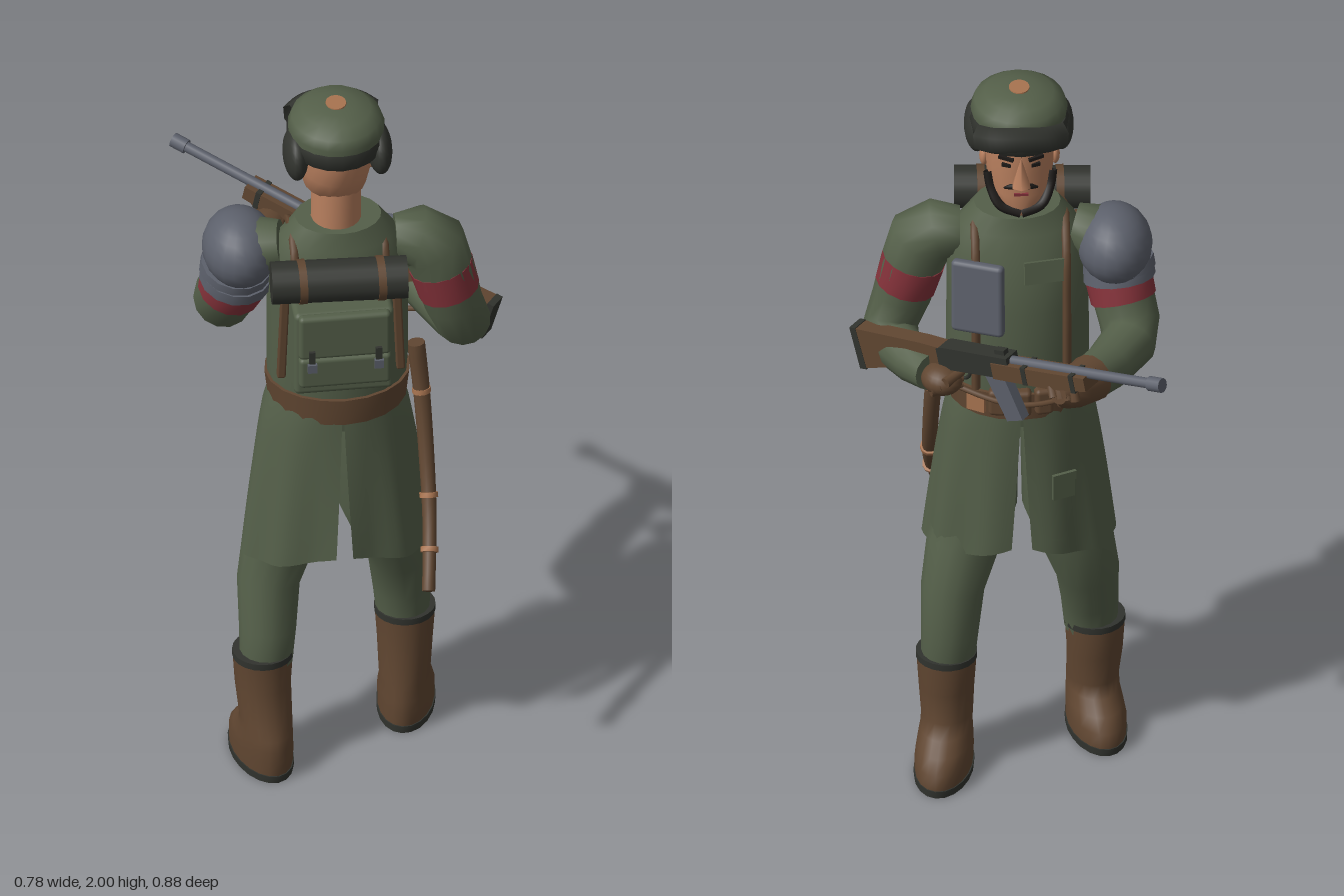
import * as THREE from 'three';
import { RoundedBoxGeometry } from 'three/addons/geometries/RoundedBoxGeometry.js';

const paint = (name, color) => Object.assign(new THREE.MeshStandardMaterial({ color, side: THREE.DoubleSide }), { name });
const V = (x, y, z) => new THREE.Vector3(x, y, z);
const CX = -0.03; // middle line of the body

// Skin over a list of rings of points, lowest ring first
function loft(rings, closed = true, caps = true) {
  const n = rings[0].length, pos = [], idx = [];
  rings.forEach(r => r.forEach(p => pos.push(p.x, p.y, p.z)));
  for (let j = 0; j + 1 < rings.length; j++)
    for (let i = 0; i < (closed ? n : n - 1); i++) {
      const a = j * n + i, b = j * n + (i + 1) % n;
      idx.push(a, b, b + n, a, b + n, a + n);
    }
  if (caps) [rings[0], rings[rings.length - 1]].forEach((ring, end) => {
    const base = pos.length / 3, c = V(0, 0, 0);
    ring.forEach(p => { c.addScaledVector(p, 1 / n); pos.push(p.x, p.y, p.z); });
    pos.push(c.x, c.y, c.z);
    for (let i = 0; i < n; i++) {
      const a = base + i, b = base + (i + 1) % n;
      idx.push(base + n, ...(end ? [a, b] : [b, a]));
    }
  });
  const g = new THREE.BufferGeometry();
  g.setAttribute('position', new THREE.Float32BufferAttribute(pos, 3));
  g.setIndex(idx);
  g.computeVertexNormals();
  return g;
}

// Level ellipses: [y, centre z, radius x, radius z]
const stack = (rows, cx = CX, n = 20) => loft(rows.map(([y, cz, rx, rz]) =>
  Array.from({ length: n }, (_, i) => {
    const a = i / n * Math.PI * 2;
    return V(cx + rx * Math.sin(a), y, cz + rz * Math.cos(a));
  })));

// Round limb along [x, y, z, radius]
function limb(rows, n = 14) {
  const pts = rows.map(r => V(r[0], r[1], r[2]));
  let u = null;
  return loft(pts.map((p, k) => {
    const t = pts[Math.min(k + 1, pts.length - 1)].clone().sub(pts[Math.max(k - 1, 0)]).normalize();
    if (!u) u = Math.abs(t.y) > 0.8 ? V(1, 0, 0) : V(0, 1, 0);
    u = u.clone().addScaledVector(t, -u.dot(t)).normalize();
    const v = t.clone().cross(u);
    return Array.from({ length: n }, (_, i) => {
      const a = i / n * Math.PI * 2;
      return p.clone().addScaledVector(u, rows[k][3] * Math.cos(a)).addScaledVector(v, rows[k][3] * Math.sin(a));
    });
  }));
}

const tube = (pts, r, n = 20) => new THREE.TubeGeometry(new THREE.CatmullRomCurve3(pts.map(p => V(...p))), n, r, 6);
const ball = (x, y, z) => new THREE.SphereGeometry(1, 20, 14).scale(x, y, z);
const box = (x, y, z) => new THREE.BoxGeometry(x, y, z);
const soft = (x, y, z, r = 0.012) => new RoundedBoxGeometry(x, y, z, 2, r);

export function createModel() {
  const model = new THREE.Group();
  const coat = paint('coat green', 0x545f49), brown = paint('leather brown', 0x604631), skin = paint('skin', 0xb87f5e),
    red = paint('armband red', 0x84323a), steel = paint('steel grey', 0x5c606b), dark = paint('dark fur', 0x31332e),
    hair = paint('black hair', 0x1d1a18), copper = paint('copper trim', 0xa87450);
  const add = (name, geo, mat, p = [0, 0, 0], r = [0, 0, 0], parent = model) => {
    const m = new THREE.Mesh(geo, mat);
    m.name = name; m.position.set(...p); m.rotation.set(...r);
    parent.add(m);
    return m;
  };

  // Coat body and belt
  add('coatBody', stack([[1.06, 0.155, 0.17, 0.145], [1.2, 0.155, 0.181, 0.15], [1.4, 0.155, 0.18, 0.146],
    [1.54, 0.165, 0.178, 0.125], [1.6, 0.17, 0.15, 0.1], [1.65, 0.17, 0.11, 0.088]], -0.025), coat);
  add('belt', stack([[1.09, 0.155, 0.177, 0.157], [1.165, 0.155, 0.186, 0.158]], -0.025), brown);

  // Coat skirt in two halves, slit at the back and front
  for (const s of [1, -1]) {
    const rings = [];
    for (let j = 10; j >= 0; j--) {
      const v = j / 10, back = 0.012 + 0.075 * v, front = 0.01 + 0.1 * v;
      const a0 = s > 0 ? back : Math.PI + front, a1 = s > 0 ? Math.PI - front : 2 * Math.PI - back;
      rings.push(Array.from({ length: 29 }, (_, i) => {
        const a = a0 + (a1 - a0) * i / 28, w = 0.007 * v * Math.cos(a * 9);
        return V(CX + (0.172 + 0.07 * v ** 0.7 + w) * Math.sin(a), 1.11 - v * (0.415 + 0.065 * Math.abs(Math.sin(a))),
          0.155 + 0.012 * v + (0.153 + 0.018 * v + w) * Math.cos(a));
      }));
    }
    add('coatSkirt', loft(rings, false, false), coat);
  }
  add('skirtPocket', box(0.06, 0.07, 0.009), coat, [-0.135, 0.88, 0.004], [0, 0.4, 0]);
  add('skirtPocketFlap', box(0.065, 0.025, 0.009), coat, [-0.137, 0.91, 0], [0, 0.4, 0]);

  // Legs and boots; one foot stands ahead of the other
  for (const [name, s, hz, kz, fz] of [['forwardLeg', 1, 0.125, 0.09, 0.033], ['rearLeg', -1, 0.15, 0.165, 0.202]]) {
    const leg = new THREE.Group();
    leg.name = name; model.add(leg);
    const fx = CX + s * 0.196, top = fz + 0.04 - (s < 0 ? 0.025 : 0);
    add('trouser', limb([[fx - s * 0.012, 0.31, top, 0.068], [CX + s * 0.18, 0.4, top - 0.005, 0.073],
      [CX + s * 0.172, 0.52, kz, 0.081], [CX + s * 0.145, 0.63, hz, 0.094],
      [CX + s * 0.105, 0.75, 0.15, 0.1], [CX + s * 0.085, 1.02, 0.155, 0.085]], 16), coat, [0, 0, 0], [0, 0, 0], leg);
    const boot = new THREE.Group();
    boot.name = 'boot'; boot.position.set(fx, 0, fz); boot.rotation.y = -s * 0.2; leg.add(boot);
    const sh = top - fz;
    add('sole', stack([[0, 0, 0.074, 0.138], [0.02, 0, 0.075, 0.139]], 0), dark, [0, 0, 0], [0, 0, 0], boot);
    add('bootLeather', stack([[0.02, 0, 0.072, 0.136], [0.06, 0.002, 0.073, 0.135], [0.09, 0.018, 0.07, 0.117],
      [0.12, 0.035, 0.066, 0.095], [0.15, sh * 0.5 + 0.03, 0.066, 0.077], [0.24, sh, 0.071, 0.073],
      [0.33, sh, 0.077, 0.074]], 0), brown, [0, 0, 0], [0, 0, 0], boot);
    add('bootCuff', stack([[0.322, sh, 0.078, 0.076], [0.34, sh, 0.078, 0.076]], 0), dark, [0, 0, 0], [0, 0, 0], boot);
  }

  // Trigger arm
  add('triggerSleeve', limb([[0.12, 1.565, 0.17, 0.06], [0.175, 1.565, 0.172, 0.08], [0.218, 1.535, 0.175, 0.088],
    [0.242, 1.46, 0.178, 0.08], [0.267, 1.36, 0.18, 0.075], [0.295, 1.285, 0.165, 0.07], [0.285, 1.258, 0.11, 0.066],
    [0.24, 1.258, 0.03, 0.058], [0.2, 1.265, -0.03, 0.05]]), coat);
  add('triggerArmband', limb([[0.236, 1.475, 0.177, 0.083], [0.257, 1.395, 0.18, 0.079]]), red);
  add('triggerGlove', ball(0.052, 0.04, 0.056), brown, [0.175, 1.262, -0.055], [0, 0.6, 0]);
  for (let i = 0; i < 3; i++)
    add('triggerFinger', limb([[0.205 - i * 0.018, 1.245 + i * 0.018, -0.09 - i * 0.008, 0.014], [0.125, 1.25 + i * 0.018, -0.06, 0.012]], 8), brown);

  // Support arm with a steel shoulder guard
  add('supportSleeve', limb([[-0.17, 1.57, 0.165, 0.06], [-0.23, 1.56, 0.15, 0.08], [-0.27, 1.51, 0.135, 0.085],
    [-0.285, 1.42, 0.11, 0.08], [-0.305, 1.34, 0.07, 0.077], [-0.3, 1.312, 0.01, 0.071],
    [-0.245, 1.31, -0.085, 0.063], [-0.18, 1.325, -0.18, 0.056]]), coat);
  add('supportArmband', limb([[-0.279, 1.445, 0.12, 0.086], [-0.291, 1.39, 0.098, 0.084]]), red);
  add('shoulderGuard', ball(0.096, 0.1, 0.12), steel, [-0.27, 1.54, 0.128]);
  for (let i = 0; i < 2; i++)
    add('guardPlate', limb([[-0.277, 1.495 - i * 0.025, 0.13, 0.092], [-0.28, 1.465 - i * 0.025, 0.122, 0.094]]), steel);
  add('supportGlove', limb([[-0.198, 1.322, -0.155, 0.062], [-0.155, 1.335, -0.215, 0.053],
    [-0.125, 1.345, -0.25, 0.043], [-0.11, 1.35, -0.27, 0.025]]), brown);
  for (let i = 0; i < 4; i++)
    add('supportFinger', limb([[-0.1 - i * 0.018, 1.34, -0.265 - i * 0.006, 0.013], [-0.085 - i * 0.02, 1.392, -0.222 - i * 0.014, 0.01]], 8), brown);

  // Head and face
  add('neck', stack([[1.6, 0.17, 0.065, 0.07], [1.76, 0.165, 0.063, 0.068]]), skin);
  add('head', stack([[1.68, 0.1, 0.03, 0.045], [1.7, 0.108, 0.056, 0.062], [1.74, 0.138, 0.08, 0.09],
    [1.8, 0.155, 0.088, 0.106], [1.87, 0.16, 0.091, 0.111], [1.93, 0.16, 0.085, 0.102]]), skin);
  add('nose', new THREE.ConeGeometry(0.026, 0.08, 6), skin, [CX, 1.822, 0.042], [0.12, 0, 0]);
  add('mouth', box(0.036, 0.007, 0.009), red, [CX, 1.75, 0.05]);
  for (const s of [1, -1]) {
    const x = d => CX + s * d;
    add('ear', ball(0.012, 0.028, 0.02), skin, [x(0.09), 1.805, 0.15]);
    add('beard', tube([[x(0.081), 1.785, 0.108], [x(0.074), 1.745, 0.094], [x(0.052), 1.707, 0.066], [x(0), 1.692, 0.05]], 0.013), hair);
    add('moustache', limb([[x(0), 1.776, 0.047, 0.009], [x(0.025), 1.772, 0.053, 0.008], [x(0.042), 1.762, 0.063, 0.003]], 8), hair);
    add('eye', box(0.024, 0.009, 0.008), hair, [x(0.037), 1.835, 0.058], [0, -s * 0.35, 0]);
    add('eyebrow', box(0.04, 0.009, 0.009), hair, [x(0.038), 1.857, 0.056], [0, -s * 0.35, s * 0.12]);
  }

  // Fur hat
  add('hatCrown', stack([[1.9, 0.17, 0.118, 0.128], [1.94, 0.172, 0.123, 0.13], [1.965, 0.171, 0.114, 0.122],
    [1.985, 0.169, 0.088, 0.095], [1.995, 0.168, 0.05, 0.055], [1.997, 0.168, 0.025, 0.028]]), coat);
  add('hatButton', stack([[1.99, 0.168, 0.027, 0.031], [2, 0.168, 0.026, 0.03]]), copper);
  add('hatFurBand', stack([[1.866, 0.165, 0.1, 0.118], [1.88, 0.164, 0.122, 0.138], [1.912, 0.163, 0.126, 0.142], [1.928, 0.163, 0.12, 0.136]]), dark);
  add('hatFrontFlap', tube([[CX - 0.105, 1.905, 0.085], [CX - 0.065, 1.912, 0.054], [CX, 1.916, 0.044], [CX + 0.065, 1.912, 0.054], [CX + 0.105, 1.905, 0.085]], 0.028)
    .translate(0, -1.91, 0).scale(1, 1.4, 1), dark, [0, 1.91, 0]);
  for (const s of [1, -1])
    add('hatEarFlap', ball(0.032, 0.065, 0.076), dark, [CX + s * 0.107, 1.868, 0.195]);

  // Chest plate, harness and belt pouches
  add('chestPlate', soft(0.14, 0.2, 0.03), steel, [0.08, 1.45, 0.027], [0.12, -0.4, 0]);
  add('chestFlap', box(0.11, 0.06, 0.009), coat, [-0.09, 1.52, 0.035], [0.2, 0.25, 0]);
  for (const s of [1, -1]) {
    const x = CX + s * 0.115;
    add('harnessStrap', tube([[x, 1.17, 0.03], [x, 1.4, 0.034], [x, 1.55, 0.06], [x, 1.618, 0.14], [x, 1.596, 0.23], [x, 1.5, 0.275]], 0.011, 28), brown);
  }
  [-0.14, -0.085, -0.03, 0.03].forEach(x =>
    add('beltPouch', soft(0.048, 0.075, 0.04), brown, [x, 1.145, 0.155 - 0.155 * Math.sqrt(1 - ((x + 0.025) / 0.18) ** 2)], [0, -(x + 0.025) * 3, 0]));
  add('beltBuckle', box(0.05, 0.05, 0.01), copper, [0.085, 1.13, 0.027], [0, -0.5, 0]);

  // Backpack with bedroll
  const pack = new THREE.Group();
  pack.name = 'backpack'; model.add(pack);
  const packPart = (name, geo, mat, p, r = [0, 0, 0]) => add(name, geo, mat, p, r, pack);
  packPart('packBody', soft(0.255, 0.25, 0.13, 0.015), coat, [-0.04, 1.39, 0.345]);
  packPart('packFlap', soft(0.235, 0.13, 0.03), coat, [-0.04, 1.45, 0.412]);
  packPart('packPocket', soft(0.235, 0.09, 0.04), coat, [-0.04, 1.345, 0.412]);
  packPart('bedroll', new THREE.CylinderGeometry(0.055, 0.055, 0.345, 18), dark, [-0.045, 1.57, 0.342], [0, -0.05, Math.PI / 2]);
  for (const s of [1, -1]) {
    packPart('bedrollStrap', new THREE.CylinderGeometry(0.058, 0.058, 0.02, 18), brown, [-0.04 + s * 0.1, 1.57, 0.342 + s * 0.005], [0, 0, Math.PI / 2]);
    packPart('packStrap', soft(0.022, 0.27, 0.022, 0.005), brown, [-0.035 + s * 0.147, 1.385, 0.3], [0, 0, s * 0.04]);
    packPart('packBuckleStrap', box(0.016, 0.05, 0.009), dark, [-0.04 + s * 0.085, 1.39, 0.431]);
    packPart('packBuckle', box(0.024, 0.024, 0.012), steel, [-0.04 + s * 0.085, 1.368, 0.436]);
  }

  // Curved scabbard
  const path = new THREE.CatmullRomCurve3([[0.175, 1.22, 0.16], [0.187, 1.08, 0.178], [0.193, 0.9, 0.235],
    [0.19, 0.77, 0.31], [0.172, 0.635, 0.43]].map(p => V(...p)));
  add('scabbard', limb(path.getPoints(16).map((p, i) => [p.x, p.y, p.z, 0.023 - i * 0.0004]), 10), brown);
  [0.2, 0.62, 0.83].forEach(t => {
    const a = path.getPointAt(t), b = path.getPointAt(t + 0.02);
    add('scabbardRing', limb([[a.x, a.y, a.z, 0.024], [b.x, b.y, b.z, 0.024]], 10), copper);
  });

  // Rifle, built along its own x axis from butt to muzzle
  const rifle = new THREE.Group();
  rifle.name = 'rifle'; model.add(rifle);
  const along = V(-0.737, 0.204, -0.545), length = along.length(), ax = along.normalize();
  const az = ax.clone().cross(V(0, 1, 0)).normalize(), ay = az.clone().cross(ax);
  rifle.quaternion.setFromRotationMatrix(new THREE.Matrix4().makeBasis(ax, ay, az));
  rifle.position.set(0.367, 1.262, 0.118);
  const gun = (name, geo, mat, p = [0, 0, 0], r = [0, 0, 0]) => add(name, geo, mat, p, r, rifle);
  const slab = (pts, w) => new THREE.ExtrudeGeometry(new THREE.Shape(pts.map(p => new THREE.Vector2(...p))),
    { depth: w, bevelEnabled: false }).translate(0, 0, -w / 2);
  const rod = (r, x0, x1) => new THREE.CylinderGeometry(r, r, x1 - x0, 14).rotateZ(Math.PI / 2).translate((x0 + x1) / 2, 0.015, 0);
  gun('stock', slab([[0.01, -0.065], [0.12, -0.045], [0.2, -0.033], [0.27, -0.03], [0.27, 0.03], [0.2, 0.038], [0, 0.048]], 0.046), brown);
  gun('buttPlate', slab([[-0.008, -0.068], [0.012, -0.068], [0.002, 0.05], [-0.016, 0.05]], 0.048), dark);
  gun('pistolGrip', slab([[0.22, -0.02], [0.265, -0.02], [0.24, -0.09], [0.205, -0.08]], 0.032), brown);
  gun('receiver', slab([[0.25, -0.028], [0.47, -0.028], [0.47, 0.032], [0.27, 0.035], [0.25, 0.03]], 0.05), dark);
  gun('handguard', slab([[0.42, -0.03], [0.6, -0.034], [0.71, -0.024], [0.71, 0.014], [0.42, 0.014]], 0.058), brown);
  gun('magazine', slab([[0.38, -0.02], [0.44, -0.02], [0.475, -0.15], [0.425, -0.16]], 0.03), steel);
  gun('triggerGuard', new THREE.TorusGeometry(0.026, 0.005, 6, 16), dark, [0.3, -0.035, 0]);
  gun('barrel', rod(0.0135, 0.45, length), steel);
  gun('muzzle', rod(0.019, length - 0.04, length), steel);
  [0.52, 0.67].forEach(x => gun('barrelBand', box(0.014, 0.05, 0.061), dark, [x, -0.008, 0]));
  gun('rearSight', box(0.03, 0.02, 0.02), dark, [0.44, 0.035, 0]);
  gun('sling', tube([[0.12, -0.04, -0.01], [0.22, -0.1, -0.03], [0.4, -0.14, -0.035], [0.56, -0.105, -0.035], [0.69, -0.02, -0.02]], 0.007, 24), brown);
  return model;
}
